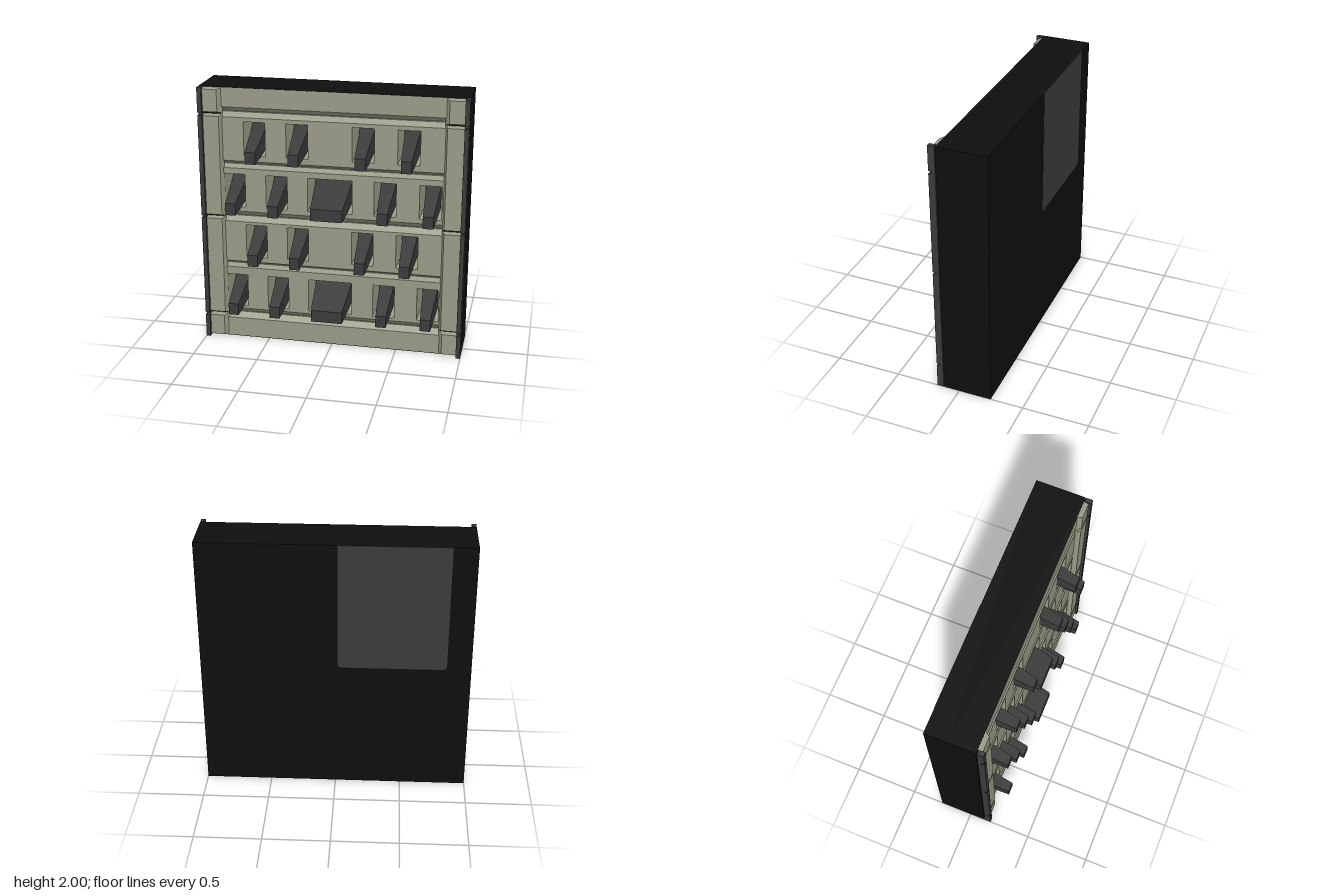
import * as THREE from 'three';

const mat = (name, color) => {
  const m = new THREE.MeshStandardMaterial({ color });
  m.name = name;
  return m;
};

// Rectangles are [x0, x1, y0, y1, z]; corners run counter-clockwise seen from +z.
const corners = ([x0, x1, y0, y1, z]) => [[x0, y0, z], [x1, y0, z], [x1, y1, z], [x0, y1, z]];

// Tapered block from a back rectangle to a front one; hollow makes an open pocket instead.
function taper(back, front, hollow = false) {
  const a = corners(back), b = corners(front), pos = [];
  const quad = (p, q, r, s) => pos.push(...p, ...q, ...r, ...p, ...r, ...s);
  for (let i = 0; i < 4; i++) {
    const j = (i + 1) % 4;
    if (hollow) quad(b[i], b[j], a[j], a[i]);
    else quad(a[i], a[j], b[j], b[i]);
  }
  if (hollow) quad(...a);
  else {
    quad(...b);
    quad(a[3], a[2], a[1], a[0]);
  }
  const g = new THREE.BufferGeometry();
  g.setAttribute('position', new THREE.Float32BufferAttribute(pos, 3));
  g.computeVertexNormals();
  return g;
}

const trace = (path, x0, x1, y0, y1) =>
  path.moveTo(x0, y0).lineTo(x1, y0).lineTo(x1, y1).lineTo(x0, y1).closePath();

export function createModel() {
  const black = mat('black casing', 0x0e0e0e);
  const grey = mat('dark grey', 0x3a3a3a);
  const tan = mat('grey green', 0x989a86);
  const model = new THREE.Group();
  model.name = 'peggedWallPanel';
  const add = (name, geometry, material, parent = model) => {
    const m = new THREE.Mesh(geometry, material);
    m.name = name;
    parent.add(m);
    return m;
  };
  const box = (name, material, x0, x1, y0, y1, z0, z1) =>
    add(name, new THREE.BoxGeometry(x1 - x0, y1 - y0, z1 - z0), material)
      .position.set((x0 + x1) / 2, (y0 + y1) / 2, (z0 + z1) / 2);

  const FACE = 0.12, FLOOR = -0.06, HALF = 0.835;

  // Casing: solid back and a rim around the front panel
  box('casingBack', black, -1, 1, 0, 2, -0.25, -0.08);
  const rim = new THREE.Shape();
  trace(rim, -1, 1, 0, 2);
  const opening = new THREE.Path();
  trace(opening, -HALF, HALF, 0.004, 1.996);
  rim.holes.push(opening);
  add('casingRim', new THREE.ExtrudeGeometry(rim, { depth: FACE + 0.08, bevelEnabled: false }), black)
    .position.z = -0.08;

  // Rear plate with rounded lower corners
  const plate = new THREE.Shape();
  const px0 = -0.82, px1 = -0.016, py0 = 1.02, r = 0.035;
  plate.moveTo(px0, 2).lineTo(px0, py0 + r).quadraticCurveTo(px0, py0, px0 + r, py0)
    .lineTo(px1 - r, py0).quadraticCurveTo(px1, py0, px1, py0 + r).lineTo(px1, 2).closePath();
  add('rearPlate', new THREE.ExtrudeGeometry(plate, { depth: 0.003, bevelEnabled: false }), grey)
    .position.z = -0.252;

  // Horizontal V grooves between the rows
  const grooves = [[0.155, 0.24], [0.585, 0.635], [0.96, 1.043], [1.383, 1.44], [1.775, 1.85]];
  for (const [y0, y1] of grooves) {
    const mid = (y0 + y1) / 2;
    add('groove', taper([-HALF, HALF, mid - 0.003, mid + 0.003, FACE - 0.04],
      [-HALF, HALF, y0, y1, FACE], true), tan);
  }

  // Pegs: centre x, pocket width, root width and tip width, from the lowest row up
  const small = x => [x, 0.165, 0.115, 0.078];
  const wide = [-0.016, 0.337, 0.285, 0.24];
  const rowA = [-0.585, -0.262, 0.233, 0.57].map(small);
  const rowB = [...[-0.747, -0.422, 0.4, 0.737].map(small), wide];
  const rows = [
    { y: 0.238, pegs: rowB }, { y: 0.65, pegs: rowA },
    { y: 1.052, pegs: rowB }, { y: 1.458, pegs: rowA },
  ];

  // Panel strips between grooves, pierced by the pockets
  for (let i = 0; i <= grooves.length; i++) {
    const y0 = i ? grooves[i - 1][1] : 0;
    const y1 = i < grooves.length ? grooves[i][0] : 2;
    const strip = new THREE.Shape();
    trace(strip, -HALF, HALF, y0, y1);
    const row = rows[i - 1];
    if (row) {
      for (const [x, w, root, tip] of row.pegs) {
        const x0 = x - w / 2, x1 = x + w / 2, low = row.y + 0.027, high = row.y + 0.286;
        const hole = new THREE.Path();
        trace(hole, x0, x1, low, high);
        strip.holes.push(hole);
        const socket = new THREE.Group();
        socket.name = 'pegSocket';
        model.add(socket);
        add('pocket', taper([x - root / 2 - 0.005, x + root / 2 + 0.005, row.y + 0.065, row.y + 0.24, FLOOR],
          [x0, x1, low, high, FACE], true), tan, socket);
        add('peg', taper([x - root / 2, x + root / 2, row.y + 0.06, row.y + 0.236, FLOOR],
          [x - tip / 2, x + tip / 2, row.y, row.y + 0.092, 0.25]), grey, socket);
      }
    }
    add('panelStrip', new THREE.ShapeGeometry(strip), tan).position.z = FACE;
  }

  // Side columns with chamfered segments, and notched outer edge rails
  const breaks = [0, 0.195, 1, 1.8, 2];
  for (const s of [-1, 1]) {
    const span = (a, b) => (s > 0 ? [a, b] : [-b, -a]);
    box('railBase', grey, ...span(0.967, 1), 0, 2, FACE + 0.005, 0.15);
    for (let i = 0; i < 4; i++) {
      const y0 = breaks[i], y1 = breaks[i + 1];
      const cap = i === 0 || i === 3;
      add(cap ? 'columnCap' : 'columnShaft', taper(
        [...span(0.825, 0.97), y0, y1, FACE - 0.01],
        [...span(cap ? 0.855 : 0.845, 0.965), y0 + 0.016, y1 - 0.016, 0.155]), tan);
      const low = i ? y0 + 0.01 : 0, high = i < 3 ? y1 - 0.01 : 2;
      box('edgeRail', grey, ...span(0.967, 1), low, high, 0.149, 0.175);
    }
  }
  return model;
}
